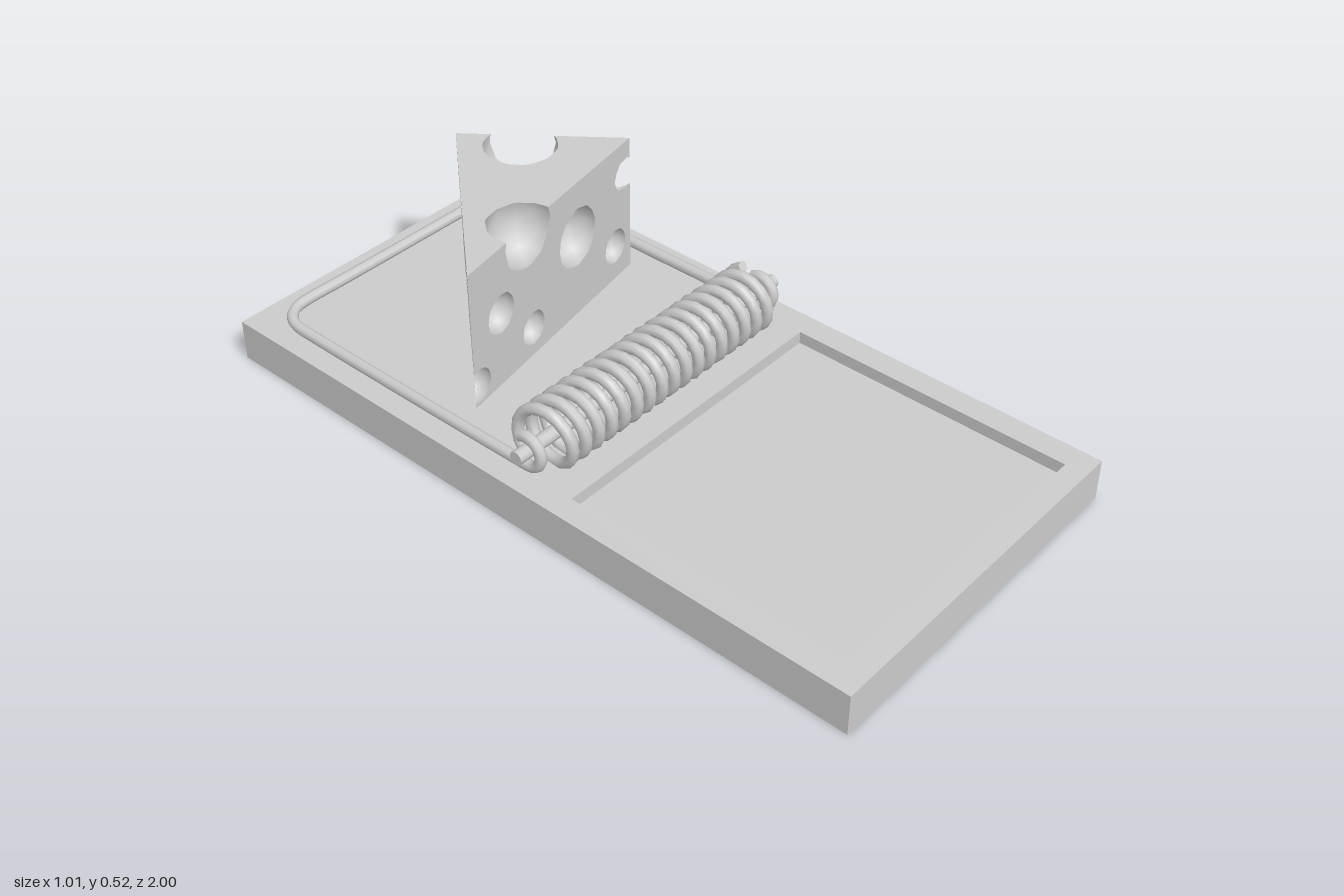
import * as THREE from 'three';

const grey = new THREE.MeshStandardMaterial({ color: 0xcccccc });
const V = (x, y, z) => new THREE.Vector3(x, y, z);
const TOP = 0.118;

function part(name, geometry, parent) {
  const mesh = new THREE.Mesh(geometry, grey);
  mesh.name = name;
  parent.add(mesh);
  return mesh;
}

// Round wire along a path, closed by flat discs at both ends
function wire(name, points, radius, segments, parent) {
  const group = new THREE.Group();
  group.name = name;
  const curve = new THREE.CatmullRomCurve3(points, false, 'centripetal');
  part(name + 'Wire', new THREE.TubeGeometry(curve, segments, radius, 8), group);
  for (const end of [0, 1]) {
    const cap = part(name + 'End', new THREE.CircleGeometry(radius, 8), group);
    const dir = curve.getTangentAt(end).multiplyScalar(end ? 1 : -1);
    cap.position.copy(curve.getPointAt(end));
    cap.quaternion.setFromUnitVectors(V(0, 0, 1), dir);
  }
  parent.add(group);
}

// Split a convex polygon by a plane into [outside, inside]
function split(poly, plane) {
  const out = [], inn = [];
  poly.forEach((p, i) => {
    const q = poly[(i + 1) % poly.length];
    const dp = plane.distanceToPoint(p), dq = plane.distanceToPoint(q);
    if (dp >= -1e-7) out.push(p);
    if (dp <= 1e-7) inn.push(p);
    if ((dp > 1e-7 && dq < -1e-7) || (dp < -1e-7 && dq > 1e-7)) {
      const m = p.clone().lerp(q, dp / (dp - dq));
      out.push(m);
      inn.push(m);
    }
  });
  return [out, inn];
}

const planeOf = (poly) => new THREE.Plane().setFromCoplanarPoints(poly[0], poly[1], poly[2]);

// What is left of a polygon outside a convex solid given by its planes
function subtract(poly, planes) {
  if (planes.some((pl) => poly.every((p) => pl.distanceToPoint(p) > -1e-7))) return [poly];
  const kept = [];
  let rest = poly;
  for (const pl of planes) {
    const [out, inn] = split(rest, pl);
    if (out.length > 2 && out.some((p) => pl.distanceToPoint(p) > 1e-6)) kept.push(out);
    rest = inn;
    if (rest.length < 3) break;
  }
  return kept;
}

// Triangular cheese wedge with rounded hollows cut out of it
function cheeseGeometry() {
  const corners = [[-0.35, -0.275], [0.375, -0.41], [0.09, -0.77]];
  const low = corners.map(([x, z]) => V(x, TOP, z));
  const high = corners.map(([x, z]) => V(x, 0.52, z));
  const faces = [high, [...low].reverse()];
  for (let i = 0; i < 3; i++) {
    const j = (i + 1) % 3;
    faces.push([low[i], low[j], high[j], high[i]]);
  }
  const wedge = faces.map(planeOf);

  // Hollows: x, y, z, radius
  const holes = [
    [-0.225, 0.33, -0.303, 0.058], [-0.1, 0.495, -0.333, 0.102], [0.12, 0.355, -0.365, 0.088],
    [0.345, 0.42, -0.432, 0.057], [-0.09, 0.2, -0.327, 0.05], [0.3, 0.22, -0.397, 0.052],
    [0.16, 0.5, -0.6, 0.105], [0.273, 0.25, -0.535, 0.06], [0.199, 0.32, -0.63, 0.053],
    [0.08, 0.285, -0.76, 0.083], [-0.003, 0.415, -0.667, 0.06], [-0.185, 0.35, -0.463, 0.048],
    [-0.09, 0.195, -0.57, 0.062], [-0.335, 0.175, -0.295, 0.055],
  ].map(([x, y, z, r]) => {
    const pos = new THREE.IcosahedronGeometry(r, 1).translate(x, y, z).attributes.position;
    const tris = [];
    for (let i = 0; i < pos.count; i += 3) {
      tris.push([0, 1, 2].map((k) => new THREE.Vector3().fromBufferAttribute(pos, i + k)));
    }
    return { center: V(x, y, z), tris, planes: tris.map(planeOf) };
  });

  const position = [], normal = [];
  const emit = (poly, normalAt) => {
    for (let i = 1; i < poly.length - 1; i++) {
      for (const p of [poly[0], poly[i], poly[i + 1]]) {
        position.push(...p.toArray());
        normal.push(...normalAt(p).toArray());
      }
    }
  };
  const cut = (poly, solids) =>
    solids.reduce((list, h) => list.flatMap((p) => subtract(p, h.planes)), [poly]);

  // Flat sides with the hollows removed
  faces.forEach((face, i) => cut(face, holes).forEach((p) => emit(p, () => wedge[i].normal)));
  // Hollow walls: the sphere surfaces inside the wedge, turned inwards
  for (const hole of holes) {
    const others = holes.filter((h) => h !== hole);
    for (const tri of hole.tris) {
      const inside = wedge.reduce((p, pl) => (p.length > 2 ? split(p, pl)[1] : []), tri);
      if (inside.length < 3) continue;
      for (const p of cut(inside, others)) {
        emit([...p].reverse(), (q) => hole.center.clone().sub(q).normalize());
      }
    }
  }
  const g = new THREE.BufferGeometry();
  g.setAttribute('position', new THREE.Float32BufferAttribute(position, 3));
  g.setAttribute('normal', new THREE.Float32BufferAttribute(normal, 3));
  return g;
}

function rectangle(path, x0, x1, y0, y1) {
  return path.moveTo(x0, y0).lineTo(x1, y0).lineTo(x1, y1).lineTo(x0, y1).closePath();
}

export function createModel() {
  const model = new THREE.Group();
  model.name = 'mousetrap';

  // Board: base slab and a rim layer leaving a shallow recess in the front half
  const recess = 0.035, base = TOP - recess;
  const board = new THREE.Group();
  board.name = 'board';
  model.add(board);
  part('boardBase', new THREE.BoxGeometry(1.01, base, 2).translate(0, base / 2, 0), board);
  const rim = rectangle(new THREE.Shape(), -0.505, 0.505, -1, 1);
  rim.holes.push(rectangle(new THREE.Path(), -0.44, 0.435, -0.94, -0.135));
  part('boardRim', new THREE.ExtrudeGeometry(rim, { depth: recess, bevelEnabled: false })
    .rotateX(-Math.PI / 2).translate(0, base, 0), board);

  // Axle through the spring
  part('axle', new THREE.CylinderGeometry(0.019, 0.019, 0.97, 10)
    .rotateZ(Math.PI / 2).translate(0, 0.195, 0), model);

  // Coil spring
  const coil = [];
  for (let turn = 0.5; turn <= 17.95; turn += 1 / 16) {
    const a = turn * Math.PI * 2;
    coil.push(V(-0.385 + 0.046 * (turn - 1), 0.198 + 0.08 * Math.cos(a), 0.08 * Math.sin(a)));
  }
  wire('spring', coil, 0.016, 300, model);

  // Striker bar: a hook around the axle, an arm and a rounded corner on each side
  const half = [];
  for (let i = 0; i <= 12; i++) {
    const a = THREE.MathUtils.degToRad(125 - (215 * i) / 12);
    half.push([0.437, 0.193 + 0.043 * Math.sin(a), 0.043 * Math.cos(a)]);
  }
  half.push([0.437, 0.148, -0.1], [0.437, 0.145, -0.45], [0.437, 0.145, -0.78]);
  for (let i = 0; i <= 4; i++) {
    const a = (i / 4) * Math.PI / 2;
    half.push([0.367 + 0.07 * Math.cos(a), 0.147 + 0.002 * i, -0.835 - 0.07 * Math.sin(a)]);
  }
  half.push([0.2, 0.155, -0.905]);
  const side = (s) => half.map(([x, y, z]) => V(s * x - 0.007, y, z));
  wire('strikerBar', [...side(1), ...side(-1).reverse()], 0.0155, 260, model);

  part('cheese', cheeseGeometry(), model);
  return model;
}
